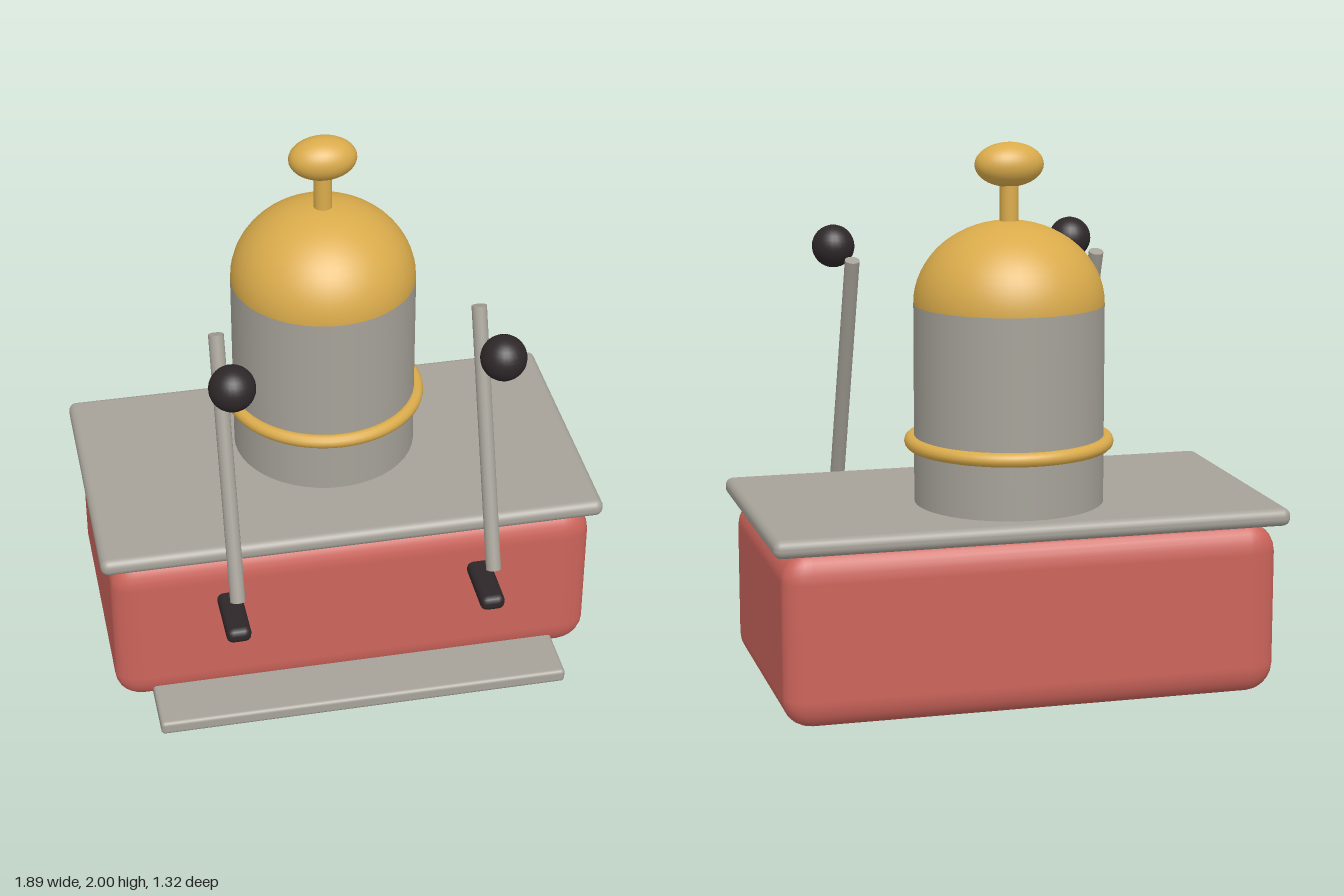
import * as THREE from 'three';
import { RoundedBoxGeometry } from 'three/addons/geometries/RoundedBoxGeometry.js';

const material = (name, color) => {
  const m = new THREE.MeshStandardMaterial({ color });
  m.name = name;
  return m;
};

export function createModel() {
  const red = material('red enamel', 0xcc645b);
  const steel = material('steel', 0xa6a299);
  const brass = material('brass', 0xdaab4b);
  const black = material('black plastic', 0x2e2729);

  const model = new THREE.Group();
  model.name = 'leverCoffeeMachine';
  const add = (name, geometry, mat, x, y, z) => {
    const mesh = new THREE.Mesh(geometry, mat);
    mesh.name = name;
    mesh.position.set(x, y, z);
    model.add(mesh);
    return mesh;
  };

  // Housing, with corners rounded less in depth than in width
  const body = new RoundedBoxGeometry(1.82, 0.63, 1.6, 3, 0.105);
  body.scale(1, 1, 1 / 1.6);
  add('body', body, red, 0, 0.315, -0.13);
  add('topPlate', new RoundedBoxGeometry(1.89, 0.066, 1.055, 3, 0.03), steel, 0, 0.662, -0.1325);
  add('dripTray', new RoundedBoxGeometry(1.55, 0.054, 0.4, 3, 0.015), steel, 0, 0.031, 0.38);

  // Boiler with dome, band and finial
  const bz = -0.242;
  add('boiler', new THREE.CylinderGeometry(0.345, 0.345, 0.75, 48), steel, 0, 1.045, bz);
  const dome = new THREE.SphereGeometry(0.345, 48, 16, 0, Math.PI * 2, 0, Math.PI / 2);
  dome.scale(1, 0.3 / 0.345, 1);
  add('dome', dome, brass, 0, 1.42, bz);
  const band = new THREE.TorusGeometry(0.355, 0.026, 12, 64);
  band.rotateX(Math.PI / 2);
  add('boilerBand', band, brass, 0, 0.918, bz);
  add('finialStem', new THREE.CylinderGeometry(0.034, 0.034, 0.2, 20), brass, 0, 1.79, bz);
  const finial = new THREE.SphereGeometry(1, 32, 20);
  finial.scale(0.126, 0.08, 0.09);
  add('finial', finial, brass, 0, 1.92, bz);

  // Two brewing stations: group head, handle, sloping lever and ball
  const low = new THREE.Vector3(0, 0.595, 0.573);
  const high = new THREE.Vector3(0, 1.528, 0.23);
  const axis = high.clone().sub(low);
  for (const [side, x] of [['left', 0.475], ['right', -0.475]]) {
    add(side + 'GroupHead', new THREE.CylinderGeometry(0.19, 0.19, 0.59, 32), steel, x, 0.345, 0.155);
    add(side + 'Handle', new RoundedBoxGeometry(0.092, 0.06, 0.34, 2, 0.025), black, x, 0.444, 0.43);
    const lever = add(side + 'Lever', new THREE.CylinderGeometry(0.028, 0.028, axis.length(), 16),
      steel, x, (low.y + high.y) / 2, (low.z + high.z) / 2);
    lever.quaternion.setFromUnitVectors(new THREE.Vector3(0, 1, 0), axis.clone().normalize());
    add(side + 'LeverBall', new THREE.SphereGeometry(0.082, 24, 16), black, x, 1.536, 0.582);
  }
  return model;
}
